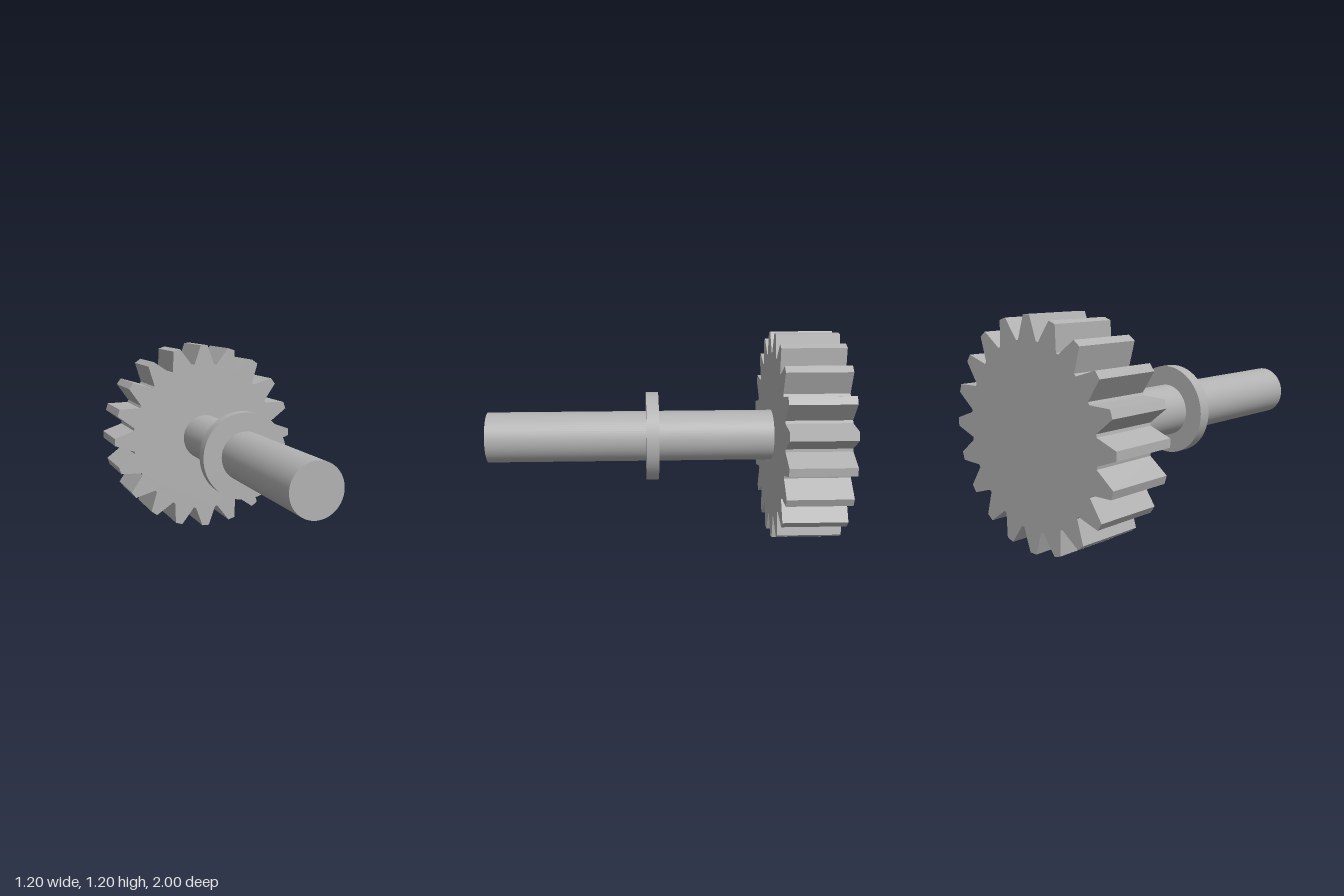
import * as THREE from 'three';

const AXIS_Y = 0.6;
const TEETH = 20;

// Spur gear outline: each tooth tapers from root to a flat tip
function gearShape() {
  const rad = THREE.MathUtils.degToRad;
  const profile = [[-8.05, 0.479], [-2.2, 0.6], [2.2, 0.6], [8.05, 0.479]];
  const points = [];
  for (let i = 0; i < TEETH; i++) {
    for (const [offset, r] of profile) {
      const a = rad((i * 360) / TEETH + offset);
      points.push(new THREE.Vector2(r * Math.cos(a), r * Math.sin(a)));
    }
  }
  return new THREE.Shape(points);
}

export function createModel() {
  const model = new THREE.Group();
  model.name = 'gearShaft';
  const steel = new THREE.MeshStandardMaterial({ color: 0xb2b2b2 });
  steel.name = 'steel grey';

  const add = (name, geometry) => {
    const mesh = new THREE.Mesh(geometry, steel);
    mesh.name = name;
    mesh.position.y = AXIS_Y;
    model.add(mesh);
  };

  // Round part lying along z between two depths
  const round = (radius, z0, z1) =>
    new THREE.CylinderGeometry(radius, radius, z1 - z0, 64)
      .rotateX(Math.PI / 2)
      .translate(0, 0, (z0 + z1) / 2);

  // Toothed wheel at the back
  const gear = new THREE.ExtrudeGeometry(gearShape(), { depth: 0.36, bevelEnabled: false });
  add('gear', gear.translate(0, 0, -1));

  // Shaft running forward, with a thin collar
  add('shaft', round(0.145, -0.66, 1));
  add('collar', round(0.254, 0.017, 0.087));

  return model;
}
